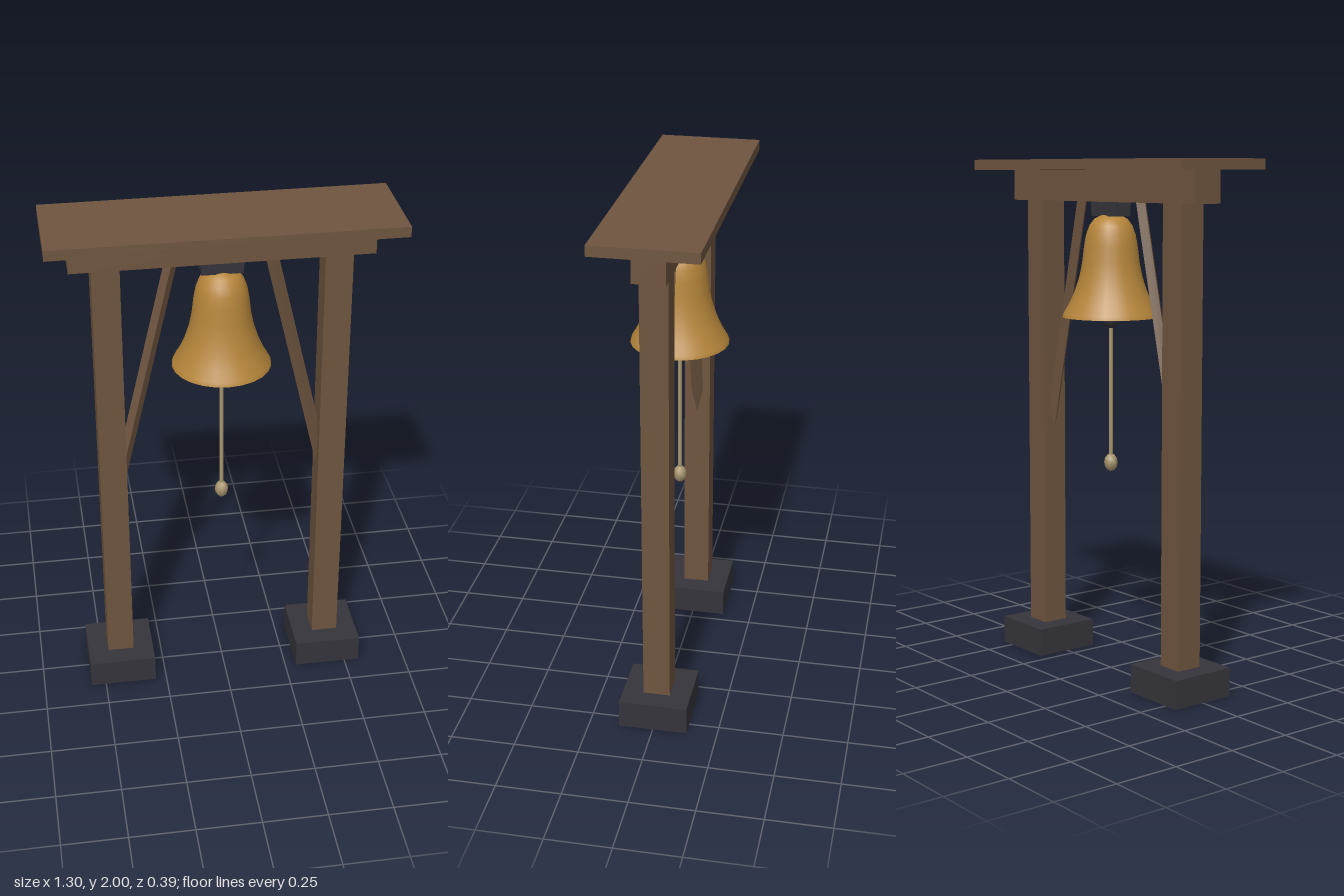
import * as THREE from 'three';

const mat = (name, color, extra = {}) => Object.assign(new THREE.MeshStandardMaterial({ color, ...extra }), { name });

export function createModel() {
  const group = new THREE.Group();
  const wood = mat('brown wood', 0x6f553f);
  const bronze = mat('bronze', 0xb5853a, { side: THREE.DoubleSide });
  const iron = mat('dark iron', 0x35343b);
  const rope = mat('rope', 0xa8966f);

  const add = (name, geometry, material, x = 0, y = 0, z = 0) => {
    const mesh = new THREE.Mesh(geometry, material);
    mesh.name = name;
    mesh.position.set(x, y, z);
    group.add(mesh);
    return mesh;
  };
  // box given by its width, vertical span and depth
  const box = (name, w, y0, y1, d, material, x = 0) =>
    add(name, new THREE.BoxGeometry(w, y1 - y0, d), material, x, (y0 + y1) / 2);

  // roof board, beam and bell hanger
  box('roofBoard', 1.296, 1.96, 2, 0.39, wood);
  box('beam', 1.12, 1.84, 1.96, 0.122, wood);
  box('bellHanger', 0.156, 1.785, 1.84, 0.07, iron);

  // footings, posts and four-sided diagonal braces
  const up = new THREE.Vector3(0, 1, 0);
  for (const [side, s] of [['left', 1], ['right', -1]]) {
    box(side + 'Footing', 0.265, 0, 0.11, 0.265, iron, s * 0.427);
    box(side + 'Post', 0.104, 0.005, 1.84, 0.104, wood, s * 0.427);
    const a = new THREE.Vector3(s * 0.415, 0.855, 0);
    const b = new THREE.Vector3(s * 0.172, 1.89, 0);
    const dir = b.clone().sub(a);
    const brace = add(side + 'Brace',
      new THREE.CylinderGeometry(0.024, 0.024, dir.length(), 4).toNonIndexed(), wood);
    brace.geometry.computeVertexNormals();
    brace.position.copy(a).add(b).multiplyScalar(0.5);
    brace.quaternion.setFromUnitVectors(up, dir.normalize());
  }

  // open bell with a flared lip
  const profile = [
    [0.188, 1.4], [0.183, 1.415], [0.162, 1.45], [0.14, 1.5], [0.122, 1.555], [0.111, 1.61],
    [0.104, 1.67], [0.096, 1.715], [0.083, 1.75], [0.064, 1.775], [0.035, 1.79], [0, 1.793],
  ].map(([r, y]) => new THREE.Vector2(r, y));
  add('bell', new THREE.LatheGeometry(profile, 24), bronze);

  // clapper, pull rope and knot
  add('clapper', new THREE.SphereGeometry(0.04, 8, 6), iron, 0, 1.395);
  add('pullRope', new THREE.CylinderGeometry(0.008, 0.008, 0.54, 8), rope, 0, 1.11);
  add('ropeKnot', new THREE.SphereGeometry(0.027, 8, 6), rope, 0, 0.83).scale.y = 1.3;

  return group;
}
